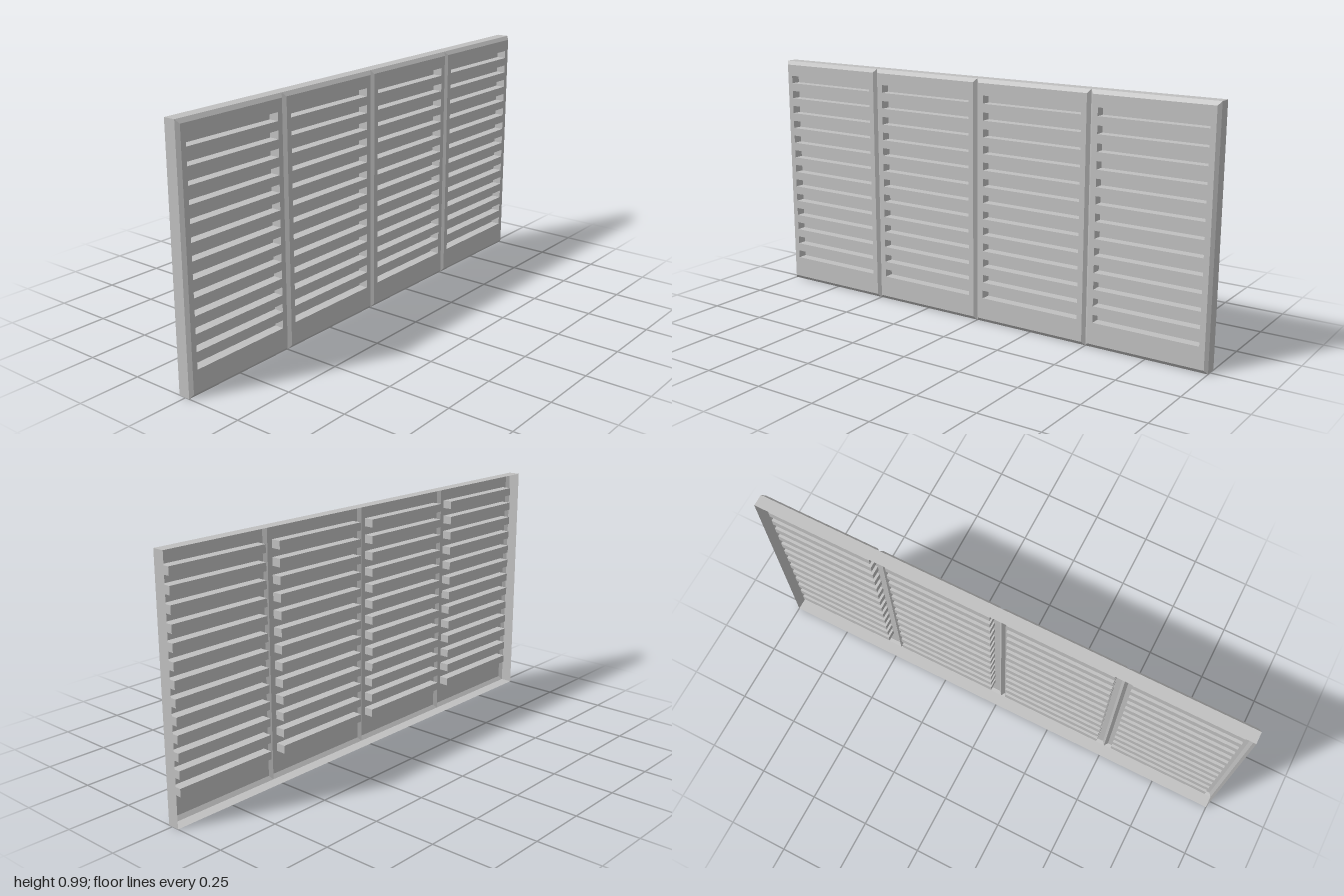
import * as THREE from 'three';
import { mergeGeometries } from 'three/addons/utils/BufferGeometryUtils.js';

const H = 0.985, BACK = -0.03, EDGE = 0.018, FRONT = 0.03, POCKET = -0.01;

// Corners of a rectangle, counter-clockwise seen from the front
const corners = ({ x0, x1, y0, y1 }) => [[x0, y0], [x1, y0], [x1, y1], [x0, y1]];

// Four flat sides joining rectangle a at depth za to rectangle b at depth zb
function loft(a, za, b, zb) {
  const A = corners(a), B = corners(b), pos = [];
  for (let i = 0; i < 4; i++) {
    const j = (i + 1) % 4;
    pos.push(...A[i], za, ...A[j], za, ...B[j], zb);
    pos.push(...A[i], za, ...B[j], zb, ...B[i], zb);
  }
  const g = new THREE.BufferGeometry();
  g.setAttribute('position', new THREE.Float32BufferAttribute(pos, 3));
  g.computeVertexNormals();
  return g;
}

// Flat rectangle at depth z, with optional rectangular holes
function plate(rect, z, holes = []) {
  const shape = new THREE.Shape(corners(rect).map(p => new THREE.Vector2(...p)));
  for (const h of holes) {
    shape.holes.push(new THREE.Path(corners(h).reverse().map(p => new THREE.Vector2(...p))));
  }
  const g = new THREE.ShapeGeometry(shape).toNonIndexed().translate(0, 0, z);
  g.deleteAttribute('uv');
  return g;
}

export function createModel() {
  const model = new THREE.Group();
  model.name = 'louveredPanel';
  const metal = new THREE.MeshStandardMaterial({ color: 0xc0c0c0, side: THREE.DoubleSide });
  metal.name = 'greySheetMetal';

  const add = (parent, name, geometry) => {
    const mesh = new THREE.Mesh(geometry, metal);
    mesh.name = name;
    parent.add(mesh);
  };

  // Perimeter rim, open at the back
  const outer = { x0: -1, x1: 1, y0: 0, y1: H };
  add(model, 'rim', loft(outer, BACK, outer, EDGE));

  for (let i = 0; i < 4; i++) {
    const panel = new THREE.Group();
    panel.name = `panel${i + 1}`;
    model.add(panel);

    const base = { x0: -1 + i * 0.5, x1: -0.5 + i * 0.5, y0: 0, y1: H };
    const face = { x0: base.x0 + 0.012, x1: base.x1 - 0.012, y0: 0.015, y1: H - 0.015 };

    // Thirteen slots per panel
    const cx = (base.x0 + base.x1) / 2, slots = [];
    for (let r = 0; r < 13; r++) {
      const y = 0.118 + r * 0.0657;
      slots.push({ x0: cx - 0.216, x1: cx + 0.216, y0: y - 0.016, y1: y + 0.016 });
    }

    // Bevelled sides of neighbouring panels form the V grooves
    add(panel, 'bevel', loft(base, EDGE, face, FRONT));
    add(panel, 'frontSheet', plate(face, FRONT, slots));

    // Closed pockets pressed back from the front sheet
    add(panel, 'slotPockets', mergeGeometries(
      slots.flatMap(s => [loft(s, FRONT, s, POCKET), plate(s, POCKET)])));
  }
  return model;
}
